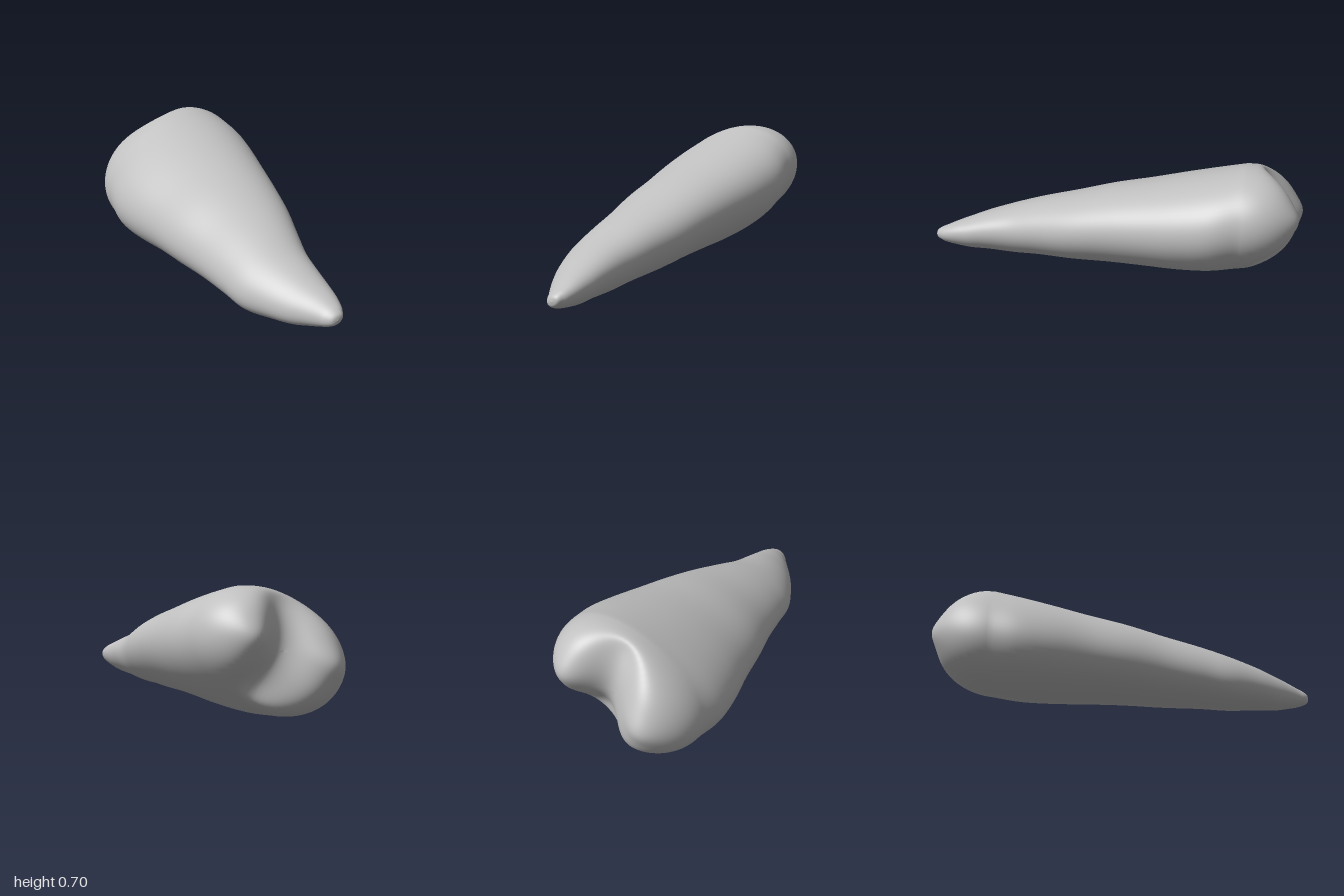
import * as THREE from 'three';

const SEG = 80;
const TILT = 0.3; // lean of the oval cross-sections

// root and body sections: z, x min, x max, y min, y max
const SECTIONS = [
  [1.0, 0.05, 0.05, 0.115, 0.115],
  [0.993, 0.02, 0.08, 0.09, 0.14],
  [0.97, -0.003, 0.097, 0.074, 0.158],
  [0.94, -0.022, 0.112, 0.062, 0.173],
  [0.88, -0.065, 0.128, 0.045, 0.2],
  [0.8, -0.12, 0.14, 0.025, 0.23],
  [0.7, -0.175, 0.15, 0.015, 0.267],
  [0.55, -0.238, 0.172, 0.0, 0.317],
  [0.4, -0.262, 0.213, 0.01, 0.372],
  [0.2, -0.292, 0.275, 0.018, 0.438],
  [0.0, -0.335, 0.32, 0.024, 0.502],
  [-0.2, -0.367, 0.362, 0.024, 0.557],
  [-0.4, -0.407, 0.402, 0.018, 0.614],
  [-0.56, -0.421, 0.42, 0.018, 0.658],
  [-0.7, -0.402, 0.402, 0.034, 0.695],
];

const gauss = (d, w) => Math.exp(-(d * d) / (w * w));

// shallow hollows along the upper left and lower right, between the two lobes
const hollow = (t, top, bottom) => {
  const s = Math.sin(t - 0.52);
  return 1 - (s > 0 ? top : bottom) * s ** 6;
};

// point of a tilted oval at disk position (X, Y), both -1..1
function oval([x0, x1, y0, y1], X, Y) {
  return [
    (x0 + x1) / 2 + ((x1 - x0) / 2) * X,
    (y0 + y1) / 2 + ((y1 - y0) / 2) * (Y * Math.cos(TILT) + X * Math.sin(TILT)),
  ];
}

// depth of the biting surface behind the last section: dome, groove and two cusps
function crownDepth(X, Y, r, dome) {
  const groove = (0.17 - 0.02 * Y) * (1 - r ** 6);
  const across = X + 0.06 - 0.13 * (1 - Y) ** 2;
  const cusps = gauss(Math.hypot(X - 0.56, Y - 0.16), 0.24) + gauss(Math.hypot(X + 0.56, Y + 0.03), 0.24);
  return 0.34 * dome - groove * gauss(across, 0.38) + 0.025 * cusps;
}

function toothGeometry() {
  const pos = [], index = [];
  const curve = (a, b) => new THREE.CatmullRomCurve3(
    SECTIONS.map((s) => new THREE.Vector3(s[0], s[a], s[b])), false, 'catmullrom', 0.5);
  const widths = curve(1, 2), heights = curve(3, 4);
  const smooth = THREE.MathUtils.smoothstep;
  let rings = 0;
  const addRing = (top, bottom, pointAt) => {
    for (let j = 0; j < SEG; j++) {
      const t = (j / SEG) * Math.PI * 2, k = hollow(t, top, bottom);
      pos.push(...pointAt(k * Math.cos(t), k * Math.sin(t)));
    }
    rings++;
  };

  // tapering root and body
  const steps = 6 * (SECTIONS.length - 1);
  for (let i = 0; i <= steps; i++) {
    const w = widths.getPoint(i / steps), h = heights.getPoint(i / steps);
    const amount = 0.035 * smooth(-w.x, -0.4, 0.5);
    addRing(amount, amount + 0.065 * smooth(-w.x, 0.3, 0.85) / smooth(0.7, 0.3, 0.85),
      (X, Y) => [...oval([w.y, w.z, h.y, h.z], X, Y), w.x]);
  }
  // rounded crown closing the back
  const last = SECTIONS[SECTIONS.length - 1].slice(1);
  for (let i = 1; i <= 48; i++) {
    const a = (i / 48) * Math.PI / 2;
    const r = Math.max(Math.cos(a), 0) ** 0.91, dome = Math.sin(a) ** 0.91;
    addRing(0.035, 0.1 + 0.1 * Math.sin(a), (X, Y) => {
      const [x, y] = oval(last, X * r, Y * r);
      return [x, y + 0.03 * dome, -0.7 - crownDepth(X * r, Y * r, r, dome)];
    });
  }

  for (let i = 0; i < rings - 1; i++) {
    for (let j = 0; j < SEG; j++) {
      const k = (j + 1) % SEG;
      const a = i * SEG + j, b = i * SEG + k, c = a + SEG, d = b + SEG;
      index.push(a, c, b, b, c, d);
    }
  }
  const geo = new THREE.BufferGeometry();
  geo.setAttribute('position', new THREE.Float32BufferAttribute(pos, 3));
  geo.setIndex(index);
  geo.computeVertexNormals();
  return geo;
}

export function createModel() {
  const group = new THREE.Group();
  group.name = 'tooth';
  const grey = new THREE.MeshStandardMaterial({ color: 0xc0c0c0 });
  grey.name = 'light grey';
  const tooth = new THREE.Mesh(toothGeometry(), grey);
  tooth.name = 'rootAndCrown';
  group.add(tooth);
  return group;
}
